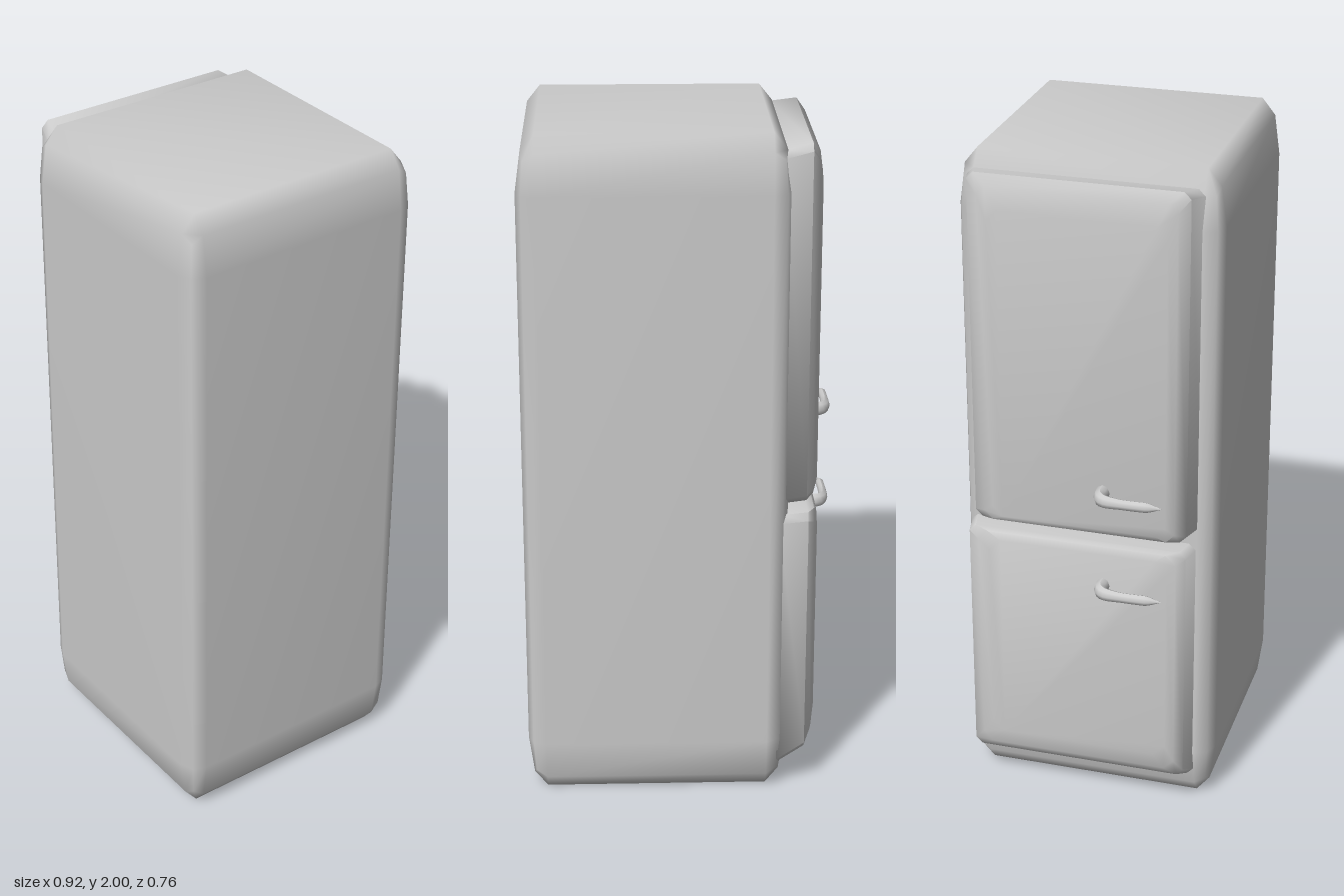
import * as THREE from 'three';
import { mergeVertices, toCreasedNormals } from 'three/addons/utils/BufferGeometryUtils.js';
import { RoundedBoxGeometry } from 'three/addons/geometries/RoundedBoxGeometry.js';

const grey = new THREE.MeshStandardMaterial({ color: 0xcccccc });

function part(name, geometry, parent) {
  const mesh = new THREE.Mesh(geometry, grey);
  mesh.name = name;
  parent.add(mesh);
  return mesh;
}

// Door slab lofted through cut-corner rectangles: [x, z0, z1, y0, y1, cornerCut]
function doorGeometry(sections) {
  const positions = [], index = [], n = 8;
  for (const [x, z0, z1, y0, y1, c] of sections) {
    const loop = [
      [z0 + c, y0], [z1 - c, y0], [z1, y0 + c], [z1, y1 - c],
      [z1 - c, y1], [z0 + c, y1], [z0, y1 - c], [z0, y0 + c],
    ];
    for (const [z, y] of loop) positions.push(x, y, z);
  }
  const last = (sections.length - 1) * n;
  for (let k = 0; k < last; k += n) {
    for (let i = 0; i < n; i++) {
      const a = k + i, b = k + (i + 1) % n;
      index.push(a, b, b + n, a, b + n, a + n);
    }
  }
  for (let i = 1; i < n - 1; i++) {
    index.push(last, last + i, last + i + 1); // front panel
    index.push(0, i + 1, i);                  // back panel
  }
  const g = new THREE.BufferGeometry();
  g.setAttribute('position', new THREE.Float32BufferAttribute(positions, 3));
  g.setIndex(index);
  return toCreasedNormals(g, 0.95);
}

// Hooked bar, thick at the door and tapering to a point
function handleGeometry() {
  const path = new THREE.CatmullRomCurve3([
    [-0.385, 0.072], [-0.425, 0.072], [-0.443, 0.088],
    [-0.45, 0.125], [-0.45, 0.2], [-0.446, 0.26],
  ].map(([x, z]) => new THREE.Vector3(x, 0, z)));
  const steps = 20, sides = 8;
  const g = new THREE.TubeGeometry(path, steps, 1, sides);
  const p = g.attributes.position, v = new THREE.Vector3();
  for (let i = 0; i <= steps; i++) {
    const u = i / steps, centre = path.getPointAt(u);
    const body = THREE.MathUtils.lerp(0.021, 0.013, Math.min(1, u / 0.5));
    const r = body * Math.min(1, (1 - u) / 0.18 + 0.02);
    for (let j = 0; j <= sides; j++) {
      const k = i * (sides + 1) + j;
      v.fromBufferAttribute(p, k).sub(centre).multiplyScalar(r);
      v.y *= 1.2;
      v.add(centre);
      p.setXYZ(k, v.x, v.y, v.z);
    }
  }
  g.computeVertexNormals();
  return g;
}

export function createModel() {
  const group = new THREE.Group();
  group.name = 'refrigerator';

  // Cabinet: bevelled box stretched upwards
  let cabinet = new RoundedBoxGeometry(0.765, 2 / 3, 0.765, 1, 0.055);
  cabinet.scale(1, 3, 1);
  cabinet.translate(0.0775, 1, 0);
  cabinet.deleteAttribute('normal');
  cabinet.deleteAttribute('uv');
  cabinet = mergeVertices(cabinet);
  cabinet.computeVertexNormals();
  part('cabinet', cabinet, group);

  // Doors on the -x side
  part('upperDoor', doorGeometry([
    [-0.28, -0.35, 0.335, 0.91, 1.95, 0.02],
    [-0.36, -0.325, 0.31, 0.91, 1.965, 0.02],
    [-0.383, -0.29, 0.28, 0.917, 1.935, 0.025],
    [-0.394, -0.26, 0.255, 0.935, 1.87, 0.03],
  ]), group);
  part('lowerDoor', doorGeometry([
    [-0.28, -0.365, 0.33, 0.075, 0.88, 0.02],
    [-0.365, -0.345, 0.31, 0.12, 0.88, 0.02],
    [-0.386, -0.31, 0.285, 0.15, 0.875, 0.03],
    [-0.396, -0.275, 0.26, 0.2, 0.855, 0.035],
  ]), group);

  // Handles
  const handle = handleGeometry();
  part('upperHandle', handle, group).position.y = 1.055;
  part('lowerHandle', handle, group).position.y = 0.755;

  return group;
}
